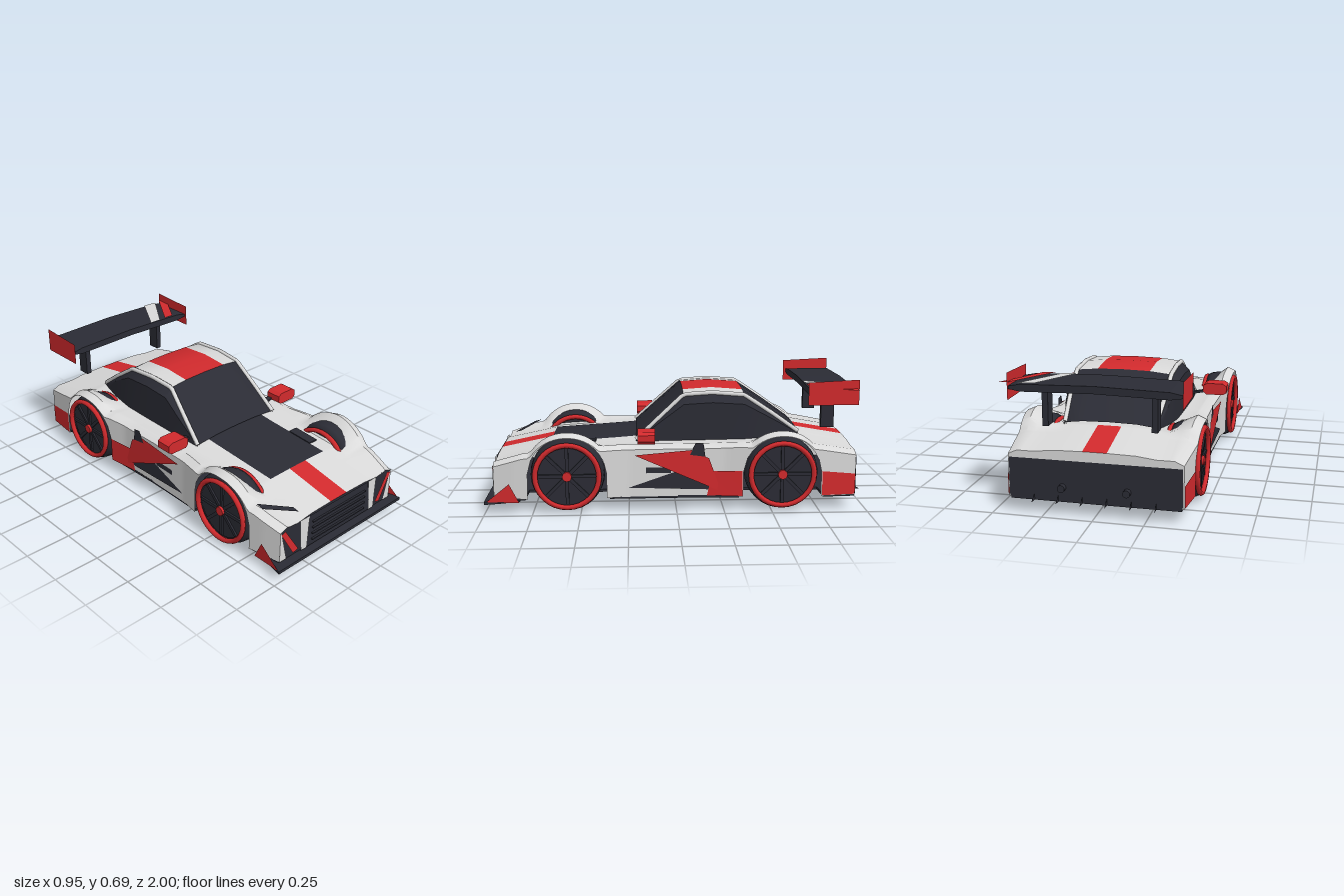
import * as THREE from 'three';
import { toCreasedNormals } from 'three/addons/utils/BufferGeometryUtils.js';

const mat = (name, color) => new THREE.MeshStandardMaterial({ name, color, side: THREE.DoubleSide });

// Piecewise linear curve through [z, value] keys, z falling
const curve = (keys) => (z) => {
  if (z >= keys[0][0]) return keys[0][1];
  for (let i = 1; i < keys.length; i++) {
    const [z0, a] = keys[i - 1], [z1, b] = keys[i];
    if (z >= z1) return a + (b - a) * (z0 - z) / (z0 - z1);
  }
  return keys[keys.length - 1][1];
};

const FRONT = 0.57, REAR = -0.555, AXLE = 0.195, ARCH = 0.205;
const halfWidth = curve([[0.955, 0.42], [0.85, 0.442], [0.75, 0.456], [0.57, 0.466], [0.4, 0.45], [0.25, 0.425], [0, 0.42],
  [-0.25, 0.425], [-0.4, 0.455], [-0.555, 0.466], [-0.72, 0.455], [-0.945, 0.43]]);
const deckY = curve([[0.955, 0.265], [0.67, 0.325], [0.3, 0.35], [0.2, 0.358], [-0.4, 0.365], [-0.66, 0.375], [-0.945, 0.325]]);
const shoulderY = curve([[0.955, 0.262], [0.8, 0.31], [0.35, 0.348], [-0.2, 0.35], [-0.35, 0.36], [-0.75, 0.345], [-0.945, 0.31]]);

// Height of a wheel-centred arch of radius r at z, or the fallback
const arch = (z, r, low) => {
  const d = Math.min(Math.abs(z - FRONT), Math.abs(z - REAR));
  return d < r ? Math.max(low, AXLE + Math.sqrt(r * r - d * d)) : low;
};

// Right half of the body section, from the centre line to the sill
function bodySection(z) {
  const w = halfWidth(z), c = deckY(z), e = arch(z, 0.226, shoulderY(z)), low = arch(z, ARCH, 0.075);
  return [[0, c], [0.06, c], [0.2, c - 0.003], [0.3, c - 0.015], [0.365, c - 0.015 + (e - c + 0.015) * 0.6],
    [w - 0.045, e], [w, Math.max(e - 0.02, low)], [w, low]].map(([x, y]) => [x, y, z]);
}

// Mirror half sections and skin them; pick(row z, column distance) gives a material index
function loft(halves, pick, materials) {
  const n = halves[0].length, cols = 2 * n - 1, pos = [], idx = materials.map(() => []);
  for (const h of halves) {
    const left = h.slice(1).reverse().map(([x, y, z]) => [-x, y, z]);
    [...left, ...h].forEach((p) => pos.push(...p));
  }
  for (let i = 0; i < halves.length - 1; i++) {
    const z = (halves[i][0][2] + halves[i + 1][0][2]) / 2;
    for (let j = 0; j < cols - 1; j++) {
      const a = i * cols + j, c = a + cols;
      idx[pick(z, Math.abs(j + 0.5 - (n - 1)))].push(a, a + 1, c, a + 1, c + 1, c);
    }
  }
  const geo = new THREE.BufferGeometry();
  geo.setAttribute('position', new THREE.Float32BufferAttribute(pos, 3));
  geo.setIndex(idx.flat());
  let start = 0;
  idx.forEach((list, k) => { geo.addGroup(start, list.length, k); start += list.length; });
  return new THREE.Mesh(toCreasedNormals(geo, 0.6), materials);
}

export function createModel() {
  const car = new THREE.Group();
  car.name = 'raceCar';
  const white = mat('bodyWhite', 0xdadada), red = mat('accentRed', 0xd22a2d), dark = mat('carbonDark', 0x2b2c35);
  const paints = [white, red, dark];

  const add = (name, geo, m, x = 0, y = 0, z = 0, parent = car) => {
    const mesh = new THREE.Mesh(geo, m);
    mesh.name = name;
    mesh.position.set(x, y, z);
    parent.add(mesh);
    return mesh;
  };
  const box = (name, m, w, h, d, x, y, z, parent) => add(name, new THREE.BoxGeometry(w, h, d), m, x, y, z, parent);
  // Flat convex panel through 3D corners
  const panel = (name, m, pts) => {
    const geo = new THREE.BufferGeometry();
    geo.setAttribute('position', new THREE.Float32BufferAttribute(pts.flat(), 3));
    geo.setIndex(pts.slice(2).flatMap((_, i) => [0, i + 1, i + 2]));
    geo.computeVertexNormals();
    return add(name, geo, m);
  };
  // Mirrored panels lying on the body sides, corners as [z, y]
  const sidePanels = (name, m, pts, off) => [1, -1].forEach((s) =>
    panel(name, m, pts.map(([z, y]) => [s * (halfWidth(z) + off), y, z])));
  // Horizontal slab from an outline of [x, z] for the +x half
  const slab = (name, m, half, y, h) => {
    const pts = [...half, ...half.slice().reverse().map(([x, z]) => [-x, z])];
    const shape = new THREE.Shape(pts.map(([x, z]) => new THREE.Vector2(x, -z)));
    return add(name, new THREE.ExtrudeGeometry(shape, { depth: h, bevelEnabled: false }).rotateX(-Math.PI / 2), m, 0, y, 0);
  };

  // Body shell with fenders, stripe and dark bonnet panel
  const zs = [0.67, 0.2, -0.66];
  for (let i = 0; i <= 76; i++) zs.push(0.955 - i * 0.025);
  for (const c of [FRONT, REAR]) for (const s of [1, -1]) zs.push(c + s * (ARCH - 0.0005), c + s * (ARCH + 0.0005));
  zs.sort((a, b) => b - a);
  const body = loft(zs.map(bodySection), (z, d) => {
    if (d < 2 && z < 0.67 && z > 0.2) return 2;
    return d < 1 && (z > 0.67 || z < -0.66) ? 1 : 0;
  }, paints);
  body.name = 'bodyShell';
  car.add(body);

  // Nose and tail closing faces
  for (const [name, z] of [['noseFace', 0.953], ['tailFace', -0.943]]) {
    const h = bodySection(z), left = h.slice(1).reverse().map(([x, y]) => [-x, y]);
    const shape = new THREE.Shape([...left, ...h].map(([x, y]) => new THREE.Vector2(x, y)));
    add(name, new THREE.ShapeGeometry(shape), z > 0 ? dark : white, 0, 0, z);
  }
  panel('tailPanel', dark, [[-0.425, 0.08, -0.948], [-0.425, 0.275, -0.948], [0.425, 0.275, -0.948], [0.425, 0.08, -0.948]]);

  // Grille, nose struts and diagonal accents
  panel('grille', dark, [[-0.275, 0.075, 0.961], [0.275, 0.075, 0.961], [0.22, 0.258, 0.961], [-0.22, 0.258, 0.961]]);
  for (let i = 0; i < 4; i++) box('grilleSlat', dark, 0.4, 0.007, 0.012, 0, 0.11 + i * 0.035, 0.965);
  for (const s of [1, -1]) {
    const face = (name, m, pts) => panel(name, m, pts.map(([x, y, z]) => [s * x, y, z]));
    face('noseStrut', white, [[0.24, 0.08, 0.968], [0.28, 0.08, 0.966], [0.29, 0.26, 0.962], [0.225, 0.262, 0.964]]);
    face('noseAccent', red, [[0.297, 0.1, 0.962], [0.333, 0.09, 0.962], [0.418, 0.235, 0.958], [0.39, 0.245, 0.958]]);
    face('noseCorner', white, [[0.375, 0.075, 0.957], [0.422, 0.075, 0.957], [0.422, 0.25, 0.957], [0.416, 0.25, 0.957]]);
    face('canard', red, [[0.466, 0.065, 0.99], [0.462, 0.16, 0.87], [0.456, 0.058, 0.82]]);
  }
  panel('headlightSlit', dark, [[-0.41, 0.324, 0.78], [-0.41, 0.314, 0.82], [-0.26, 0.281, 0.92], [-0.26, 0.288, 0.885]]);
  box('bonnetVent', dark, 0.055, 0.009, 0.15, 0.225, 0.334, 0.5).rotation.x = 0.068;

  // Floor, splitter and rear fins
  slab('floor', dark, [[0.42, 0.95], [0.44, 0.79], [0.29, 0.785], [0.29, 0.355], [0.425, 0.35], [0.42, 0], [0.43, -0.33],
    [0.29, -0.34], [0.29, -0.77], [0.43, -0.775], [0.42, -0.945]], 0.065, 0.014);
  slab('frontSplitter', dark, [[0.47, 1], [0.455, 0.93], [0.42, 0.82]], 0.053, 0.016);
  for (let i = 0; i < 6; i++) {
    const x = -0.3 + i * 0.12;
    panel('diffuserFin', dark, [[x, 0.065, -0.94], [x, 0.105, -0.94], [x, 0.07, -1]]);
  }

  // Door, sill and tail side graphics
  sidePanels('sillWedge', dark, [[0.25, 0.125], [0, 0.21], [-0.21, 0.11]], 0.003);
  sidePanels('sillRed', red, [[-0.19, 0.21], [-0.345, 0.215], [-0.345, 0.078], [-0.16, 0.078]], 0.005);
  sidePanels('doorBlade', red, [[0.22, 0.3], [-0.08, 0.325], [-0.17, 0.28], [-0.235, 0.1]], 0.009);
  sidePanels('doorVent', dark, [[0.16, 0.232], [0.03, 0.232], [0.03, 0.202], [0.16, 0.202]], 0.003);
  sidePanels('doorIntake', dark, [[-0.07, 0.3], [-0.1, 0.365], [-0.14, 0.36], [-0.15, 0.29]], 0.011);
  sidePanels('tailRed', red, [[-0.765, 0.21], [-0.944, 0.19], [-0.944, 0.08], [-0.765, 0.08]], 0.004);

  // Cabin: rows of z, roof height, roof half width, side half width
  const rows = [[0.21, 0.352, 0.28, 0.285], [0.08, 0.472, 0.262, 0.291], [-0.045, 0.586, 0.242, 0.29], [-0.2, 0.597, 0.248, 0.29],
    [-0.37, 0.584, 0.25, 0.288], [-0.52, 0.484, 0.243, 0.27], [-0.665, 0.38, 0.228, 0.235]];
  const cabin = loft(rows.map(([z, y, x, side]) => [[0, y + 0.014], [0.14, y + 0.011], [x, y],
    [side, 0.33 + (y - 0.33) * 0.82], [side + 0.003, 0.33]].map(([a, b]) => [a, b, z])),
  (z, d) => (d < 2 && z < -0.045 && z > -0.37 ? (d < 1 ? 1 : 0) : 2), paints);
  cabin.name = 'cabin';
  car.add(cabin);

  for (const s of [1, -1]) {
    // Roof frame tube running over each side of the cabin
    const path = new THREE.CurvePath();
    const pts = rows.map(([z, y, x]) => new THREE.Vector3(s * (x + 0.003), y, z));
    pts.slice(1).forEach((p, i) => path.add(new THREE.LineCurve3(pts[i], p)));
    add('cabinFrame', new THREE.TubeGeometry(path, 40, 0.012, 8), white);

    // Mirror and its stalk
    const mirror = new THREE.Shape([[-0.066, -0.02], [-0.045, -0.032], [0.05, -0.032], [0.066, -0.015], [0.066, 0.018],
      [0.045, 0.032], [-0.045, 0.032], [-0.066, 0.018]].map(([x, y]) => new THREE.Vector2(x, y)));
    add('mirror', new THREE.ExtrudeGeometry(mirror, { depth: 0.09, bevelEnabled: false }), red, s * 0.41, 0.396, 0.112);
    box('mirrorStalk', dark, 0.09, 0.012, 0.03, s * 0.32, 0.375, 0.13).rotation.z = s * 0.2;

    // Wing strut, end plate and exhaust
    box('wingStrut', dark, 0.03, 0.2, 0.07, s * 0.27, 0.51, -0.815);
    panel('wingEndPlate', red, [[-0.685, 0.675], [-0.95, 0.688], [-0.95, 0.555], [-0.685, 0.555]].map(([z, y]) => [s * 0.421, y, z]));
    add('exhaust', new THREE.CylinderGeometry(0.019, 0.019, 0.04, 10).rotateX(Math.PI / 2), dark, s * 0.16, 0.14, -0.955);

    // Wheels
    for (const z of [FRONT, REAR]) {
      const wheel = new THREE.Group();
      wheel.name = z > 0 ? 'frontWheel' : 'rearWheel';
      wheel.position.set(s * 0.375, AXLE, z);
      car.add(wheel);
      const profile = [[0.15, -0.07], [0.178, -0.07], [0.19, -0.045], [0.195, 0], [0.19, 0.045], [0.178, 0.07], [0.15, 0.07]];
      const tyre = new THREE.LatheGeometry(profile.map(([r, y]) => new THREE.Vector2(r, y)), 32).rotateZ(-Math.PI / 2);
      add('tyre', tyre, dark, 0, 0, 0, wheel);
      add('wheelDisc', new THREE.CylinderGeometry(0.156, 0.156, 0.13, 32).rotateZ(Math.PI / 2), dark, 0, 0, 0, wheel);
      for (const side of [1, -1]) {
        add('rimRing', new THREE.TorusGeometry(0.166, 0.014, 6, 32).rotateY(Math.PI / 2), red, side * 0.081, 0, 0, wheel);
      }
      for (let i = 0; i < 4; i++) box('spoke', dark, 0.012, 0.3, 0.018, s * 0.069, 0, 0, wheel).rotation.x = i * Math.PI / 4;
      add('hub', new THREE.CylinderGeometry(0.025, 0.025, 0.03, 12).rotateZ(Math.PI / 2), red, s * 0.073, 0, 0, wheel);
    }
  }

  // Rear wing blade with slanted stripes at one end
  const blade = new THREE.Shape([[-0.42, 0.608], [-0.36, 0.598], [0, 0.606], [0.36, 0.598], [0.42, 0.608], [0.42, 0.622],
    [0.36, 0.634], [0, 0.643], [-0.36, 0.634], [-0.42, 0.622]].map(([x, y]) => new THREE.Vector2(x, y)));
  add('wingBlade', new THREE.ExtrudeGeometry(blade, { depth: 0.24, bevelEnabled: false }), dark, 0, 0, -0.94);
  const stripe = (name, m, a, b, c, d) => panel(name, m, [[a, 0.643, -0.7], [b, 0.642, -0.7], [d, 0.638, -0.94], [c, 0.643, -0.94]]);
  stripe('wingStripeWhite', white, 0.15, 0.22, 0.29, 0.38);
  stripe('wingStripeRed', red, 0.26, 0.32, 0.41, 0.47);
  return car;
}
